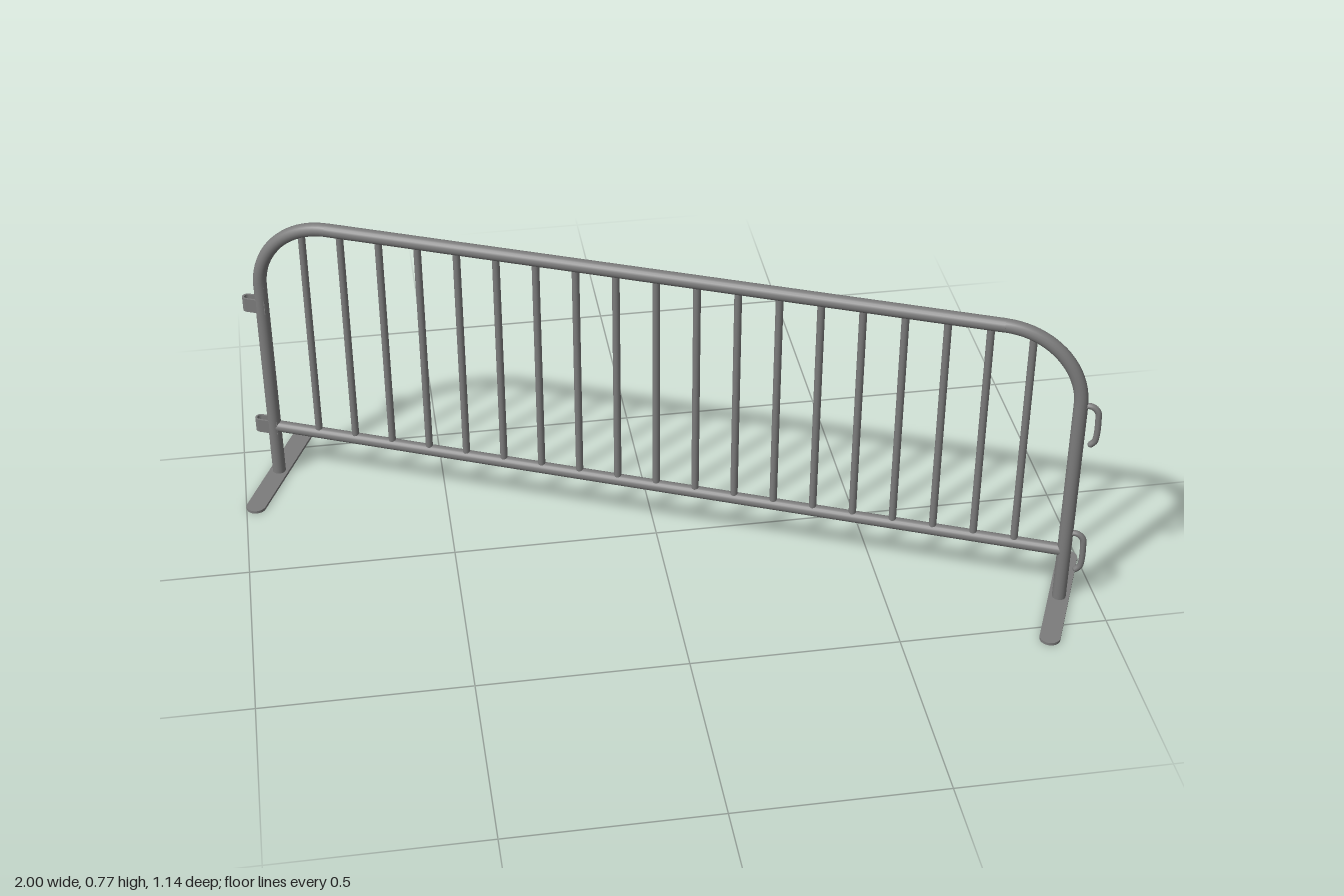
import * as THREE from 'three';

export function createModel() {
  const model = new THREE.Group();
  model.name = 'crowdBarrier';
  const steel = new THREE.MeshStandardMaterial({ color: 0x7c7c7c });
  steel.name = 'galvanised steel';

  // The whole barrier stands diagonally
  const barrier = new THREE.Group();
  barrier.name = 'barrier';
  barrier.rotation.y = -0.414;
  model.add(barrier);

  const add = (name, geometry, x = 0, y = 0, z = 0) => {
    const mesh = new THREE.Mesh(geometry, steel);
    mesh.name = name;
    mesh.position.set(x, y, z);
    barrier.add(mesh);
    return mesh;
  };

  const half = 0.997, top = 0.749, bend = 0.185, r = 0.0165;
  const railY = 0.147;

  // Rails
  const rail = (name, length, y, radius) => {
    add(name, new THREE.CylinderGeometry(radius, radius, length, 20), 0, y).rotation.z = Math.PI / 2;
  };
  rail('topRail', 2 * (half - bend), top, r);
  rail('bottomRail', 2 * half, railY, 0.0145);

  // Upright bars
  const barHeight = top - railY;
  for (let i = -9; i <= 9; i++) {
    add('bar', new THREE.CylinderGeometry(0.009, 0.009, barHeight, 14), i * 0.0974, railY + barHeight / 2);
  }

  // Foot: a flat strip with round ends, lying across the barrier
  const footShape = new THREE.Shape();
  const footR = 0.0245, footL = 0.156;
  footShape.absarc(0, footL, footR, 0, Math.PI);
  footShape.absarc(0, -footL, footR, Math.PI, 2 * Math.PI);
  const footGeo = new THREE.ExtrudeGeometry(footShape, { depth: 0.007, bevelEnabled: false, curveSegments: 12 });
  footGeo.rotateX(-Math.PI / 2);

  // Posts, rounded corners and feet
  for (const s of [-1, 1]) {
    const h = top - bend;
    add('post', new THREE.CylinderGeometry(r, r, h, 20), s * half, h / 2);
    const corner = add('corner', new THREE.TorusGeometry(bend, r, 16, 20, Math.PI / 2), s * (half - bend), h);
    if (s < 0) corner.rotation.y = Math.PI;
    add('foot', footGeo, s * half, 0);
  }

  // Hanging hooks on the left end
  const hookCurve = new THREE.CatmullRomCurve3([
    [0, 0], [0.026, 0.002], [0.040, -0.010], [0.043, -0.035], [0.043, -0.075], [0.040, -0.092], [0.032, -0.102],
  ].map(([x, y]) => new THREE.Vector3(x, y, 0)));
  const hookGeo = new THREE.TubeGeometry(hookCurve, 36, 0.0075, 10);
  for (const y of [0.562, 0.198]) {
    add('hook', hookGeo, half, y);
    add('hookTip', new THREE.SphereGeometry(0.0075, 10, 8), half + 0.032, y - 0.102);
  }

  // Strap loops on the right end receive a neighbour's hooks
  const outline = (path, w) => {
    path.moveTo(0.012, -w);
    path.lineTo(0.012, w);
    path.lineTo(-0.037, w);
    path.absarc(-0.037, 0, w, Math.PI / 2, Math.PI * 1.5);
    path.closePath();
    return path;
  };
  const loopShape = outline(new THREE.Shape(), 0.013);
  loopShape.holes.push(outline(new THREE.Path(), 0.008));
  loopShape.holes[0].curves.forEach(() => {});
  const loopGeo = new THREE.ExtrudeGeometry(loopShape, { depth: 0.037, bevelEnabled: false, curveSegments: 12 });
  loopGeo.rotateX(-Math.PI / 2);
  for (const y of [0.49, 0.129]) add('hookLoop', loopGeo, -half, y);

  return model;
}
